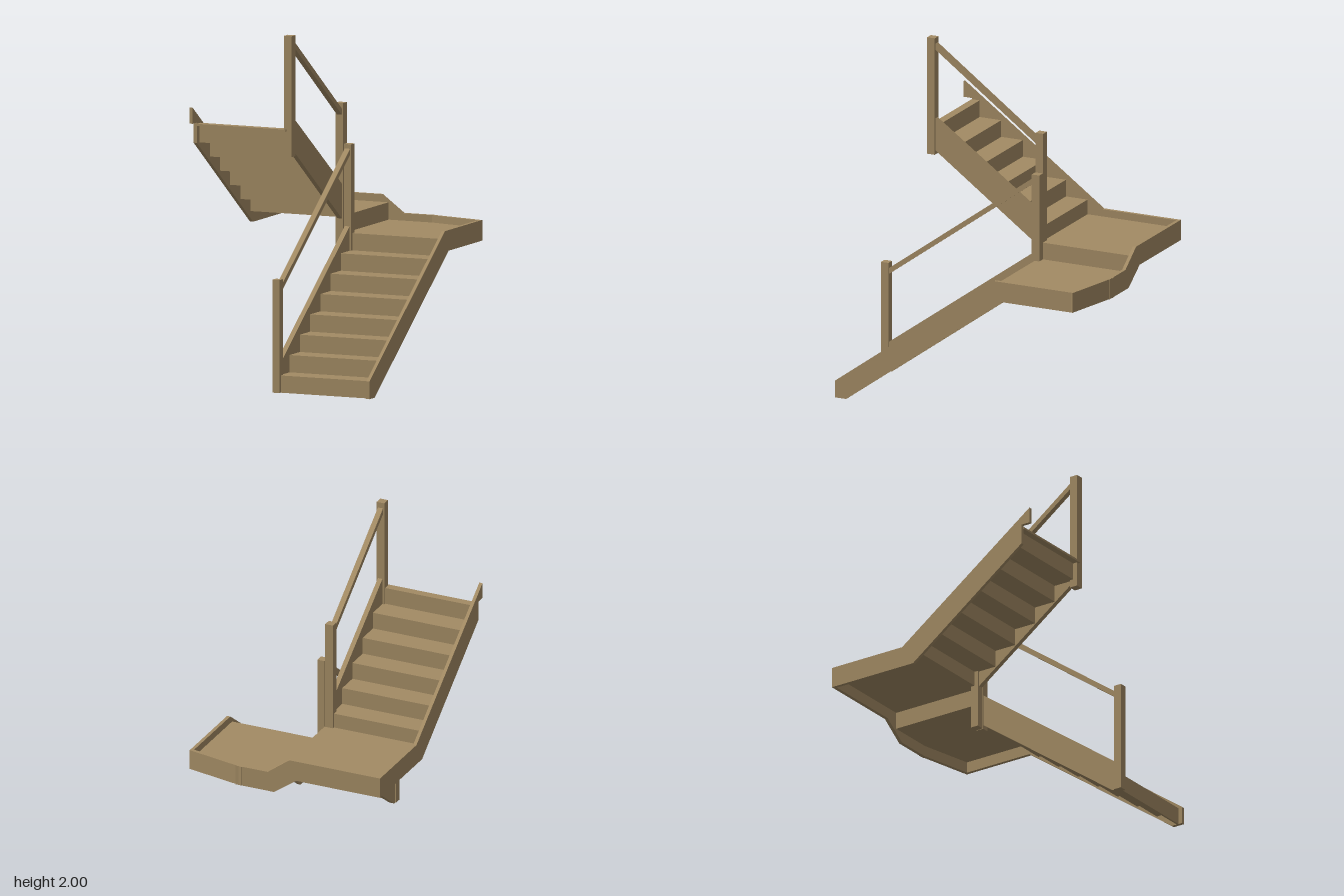
import * as THREE from 'three';

const wood = new THREE.MeshStandardMaterial({ color: 0xa38b64 });
wood.name = 'wood';

const T = 0.012; // board thickness of treads and landings
const RISE = 0.0985;
const GOING = 0.1364;

function toShape(points) {
  return new THREE.Shape(points.map(([u, v]) => new THREE.Vector2(u, v)));
}

function extrude(points, depth) {
  return new THREE.ExtrudeGeometry(toShape(points), { depth, bevelEnabled: false });
}

export function createModel() {
  const group = new THREE.Group();

  const add = (name, geometry) => {
    const mesh = new THREE.Mesh(geometry, wood);
    mesh.name = name;
    group.add(mesh);
  };

  // Side profile given as [z, y], running from x0 to x1
  const sideBoard = (name, points, x0, x1) =>
    add(name, extrude(points.map(([z, y]) => [-z, y]), x1 - x0).rotateY(Math.PI / 2).translate(x0, 0, 0));

  // Plan outline given as [x, z], running from y0 to y1
  const planBoard = (name, points, y0, y1) =>
    add(name, extrude(points.map(([x, z]) => [x, -z]), y1 - y0).rotateX(-Math.PI / 2).translate(0, y0, 0));

  const box = (name, x0, x1, y0, y1, z0, z1) =>
    add(name, new THREE.BoxGeometry(x1 - x0, y1 - y0, z1 - z0)
      .translate((x0 + x1) / 2, (y0 + y1) / 2, (z0 + z1) / 2));

  // Thin zigzag of risers and treads; dir is the climbing direction along z
  const steps = (name, x0, x1, zStart, yStart, dir, risers, lastTread) => {
    const top = [[zStart, yStart]];
    for (let i = 0; i < risers; i++) {
      const z = zStart + dir * GOING * i;
      const y = yStart + RISE * (i + 1);
      top.push([z, y]);
      top.push([z + dir * (i < risers - 1 ? GOING : lastTread), y]);
    }
    const under = top.map(([z, y], i) => [
      i === top.length - 1 ? z : z + dir * T,
      i === 0 ? y : y - T,
    ]);
    sideBoard(name, [...top, ...under.reverse()], x0, x1);
  };

  // Lower flight, climbing toward the back
  steps('lowerSteps', 0.03, 0.592, 0.765, 0, -1, 8, 0.03);
  sideBoard('lowerOuterStringer', [
    [0.79, 0], [0.72, 0], [-0.265, 0.712], [-0.712, 0.712],
    [-0.712, 0.83], [-0.215, 0.83], [0.79, 0.1],
  ], 0.59, 0.61);
  sideBoard('lowerInnerStringer', [
    [0.74, 0], [0.72, 0], [-0.175, 0.647], [-0.175, 0.832], [0.74, 0.173],
  ], 0.006, 0.036);

  // Upper flight, climbing toward the front
  steps('upperSteps', -0.592, -0.036, -0.205, 0.887 - T, 1, 6, 0.05);
  sideBoard('upperOuterStringer', [
    [-0.785, 0.81], [-0.225, 0.81], [0.525, 1.357], [0.525, 1.473],
    [0.58, 1.473], [0.58, 1.565], [-0.3, 0.93], [-0.785, 0.93],
  ], -0.612, -0.592);
  sideBoard('upperInnerStringer', [
    [-0.175, 0.867], [0.475, 1.34], [0.475, 1.53], [-0.175, 1.067],
  ], -0.04, -0.012);

  // Two landings, one step apart
  planBoard('lowerLanding', [
    [-0.008, -0.19], [0.592, -0.19], [0.592, -0.7], [0.29, -0.767], [-0.008, -0.767],
  ], 0.788 - T, 0.788);
  box('upperLanding', -0.594, 0, 0.887 - T, 0.887, -0.767, -0.2);
  box('landingRiser', -0.008, 0, 0.776, 0.886, -0.767, -0.205);

  // Back fascia stepping down between the landings, then an angled end
  add('backFascia', extrude([
    [-0.61, 0.81], [-0.09, 0.81], [0.05, 0.712], [0.29, 0.712],
    [0.29, 0.83], [0.09, 0.83], [-0.045, 0.93], [-0.61, 0.93],
  ], 0.02).translate(0, 0, -0.785));
  planBoard('angledFascia', [
    [0.25, -0.79], [0.612, -0.712], [0.608, -0.692], [0.25, -0.77],
  ], 0.7125, 0.8295);

  // Newel posts
  box('frontPost', 0, 0.045, 0, 0.645, 0.735, 0.782);
  box('lowerMiddlePost', 0, 0.045, 0.62, 1.297, -0.218, -0.17);
  box('upperMiddlePost', -0.052, -0.004, 0.62, 1.53, -0.218, -0.17);
  box('topPost', -0.052, -0.004, 1.31, 2, 0.467, 0.515);

  // Sloping handrails
  const rail = (name, x0, x1, zA, yA, zB, yB) =>
    sideBoard(name, [[zA, yA], [zB, yB], [zB, yB - 0.035], [zA, yA - 0.035]], x0, x1);
  rail('lowerHandrail', 0.006, 0.039, 0.737, 0.612, -0.172, 1.273);
  rail('upperHandrail', -0.044, -0.012, 0.469, 1.968, -0.172, 1.497);

  return group;
}
